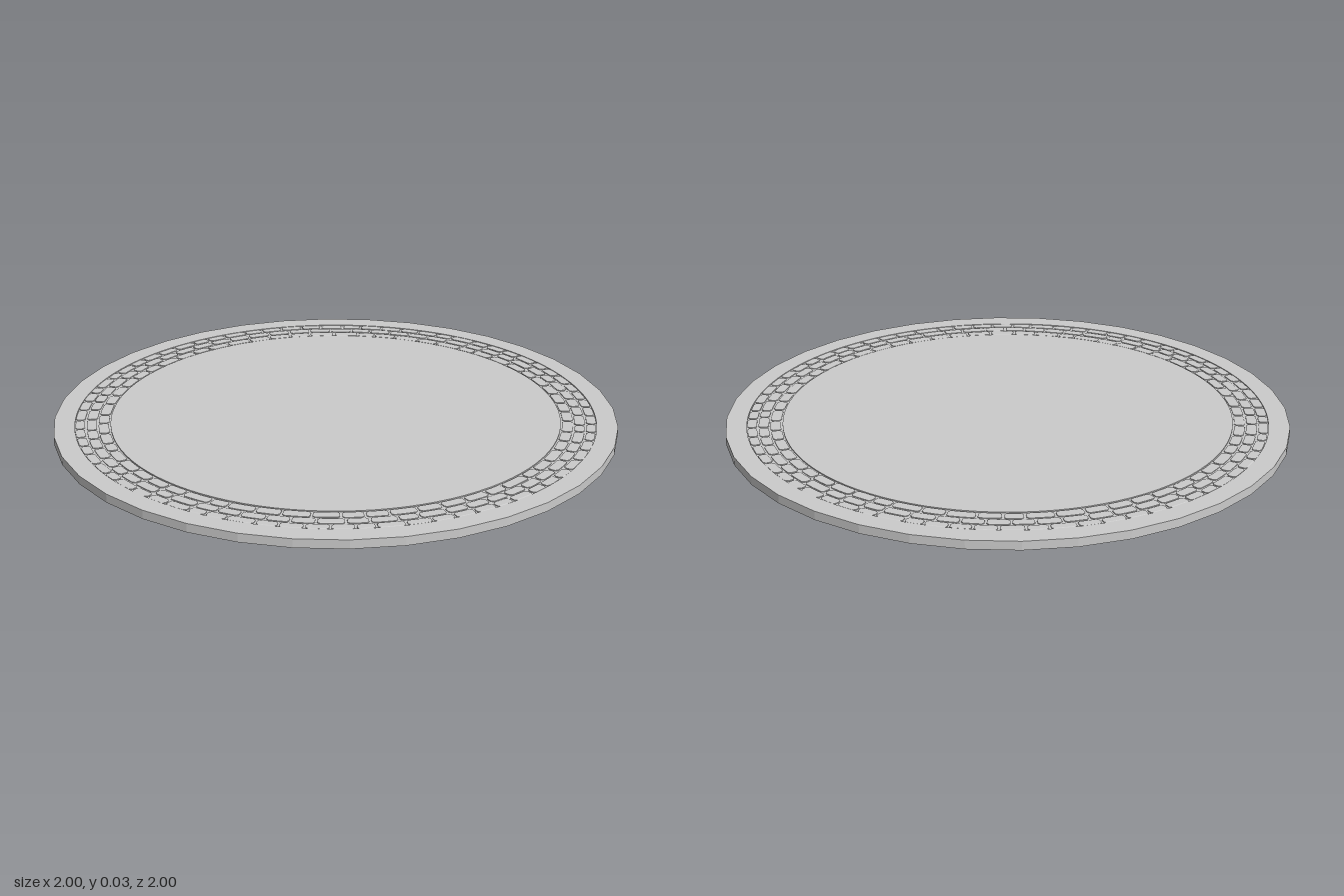
import * as THREE from 'three';
import { mergeGeometries } from 'three/addons/utils/BufferGeometryUtils.js';

const TOP = 0.031, BED = 0.027, INNER = 0.8, OUTER = 0.925;

// Small seeded generator for irregular stones
let seed = 7;
const rand = () => (seed = (seed * 16807) % 2147483647) / 2147483647;

// One paving stone: a curved sector with a chamfered top edge
function stone(r0, r1, a0, a1) {
  const bevel = 0.003, top = TOP - rand() * 0.0006;
  const i0 = r0 + bevel, i1 = r1 - bevel;
  const da = bevel / r0, cut = 0.006, ca = cut / r0;
  const b0 = a0 + da, b1 = a1 - da;
  const polar = (r, a) => new THREE.Vector2(r * Math.cos(a), r * Math.sin(a));
  const mid = (b0 + b1) / 2;
  const shape = new THREE.Shape([
    polar(i0, b0 + ca), polar(i0, mid), polar(i0, b1 - ca), polar(i0 + cut, b1),
    polar(i1 - cut, b1), polar(i1, b1 - ca), polar(i1, mid), polar(i1, b0 + ca),
    polar(i1 - cut, b0), polar(i0 + cut, b0),
  ].reverse());
  const g = new THREE.ExtrudeGeometry(shape, {
    depth: top - BED - 0.001, bevelEnabled: true, bevelSize: bevel, bevelThickness: 0.001, bevelSegments: 1,
  });
  return g.rotateX(-Math.PI / 2).translate(0, BED, 0);
}

// A full ring of stones with uneven widths
function stoneRow(r0, r1, count, offset) {
  const step = (Math.PI * 2) / count, gap = 0.007 / r0;
  const joints = Array.from({ length: count }, (_, i) => (i + offset + (rand() - 0.5) * 0.3) * step);
  joints.push(joints[0] + Math.PI * 2);
  const stones = [];
  for (let i = 0; i < count; i++) {
    stones.push(stone(r0 + rand() * 0.002, r1 - rand() * 0.002, joints[i] + gap / 2, joints[i + 1] - gap / 2));
  }
  return mergeGeometries(stones);
}

export function createModel() {
  const group = new THREE.Group();
  const material = new THREE.MeshStandardMaterial({ color: 0xcccccc, flatShading: true });
  const add = (name, geometry) => {
    const mesh = new THREE.Mesh(geometry, material);
    mesh.name = name;
    group.add(mesh);
  };

  // 36-sided outer rim with a round opening
  const outline = [];
  for (let i = 0; i < 36; i++) {
    const a = (i / 36) * Math.PI * 2;
    outline.push(new THREE.Vector2(Math.cos(a), Math.sin(a)));
  }
  const rim = new THREE.Shape(outline);
  rim.holes.push(new THREE.Path().absarc(0, 0, OUTER, 0, Math.PI * 2, true));
  add('outerRim', new THREE.ExtrudeGeometry(rim, { depth: TOP, bevelEnabled: false, curveSegments: 96 })
    .rotateX(-Math.PI / 2));

  // Recessed bed below the stones, and the raised centre floor
  add('stoneBed', new THREE.CylinderGeometry(OUTER, OUTER, BED, 96).translate(0, BED / 2, 0));
  add('centreFloor', new THREE.CylinderGeometry(INNER, INNER, TOP - BED, 96)
    .translate(0, (TOP + BED) / 2, 0));

  // Three staggered rows of paving stones
  add('innerStones', stoneRow(0.804, 0.843, 60, 0));
  add('middleStones', stoneRow(0.847, 0.885, 66, 0.5));
  add('outerStones', stoneRow(0.889, 0.924, 72, 0.25));
  return group;
}
